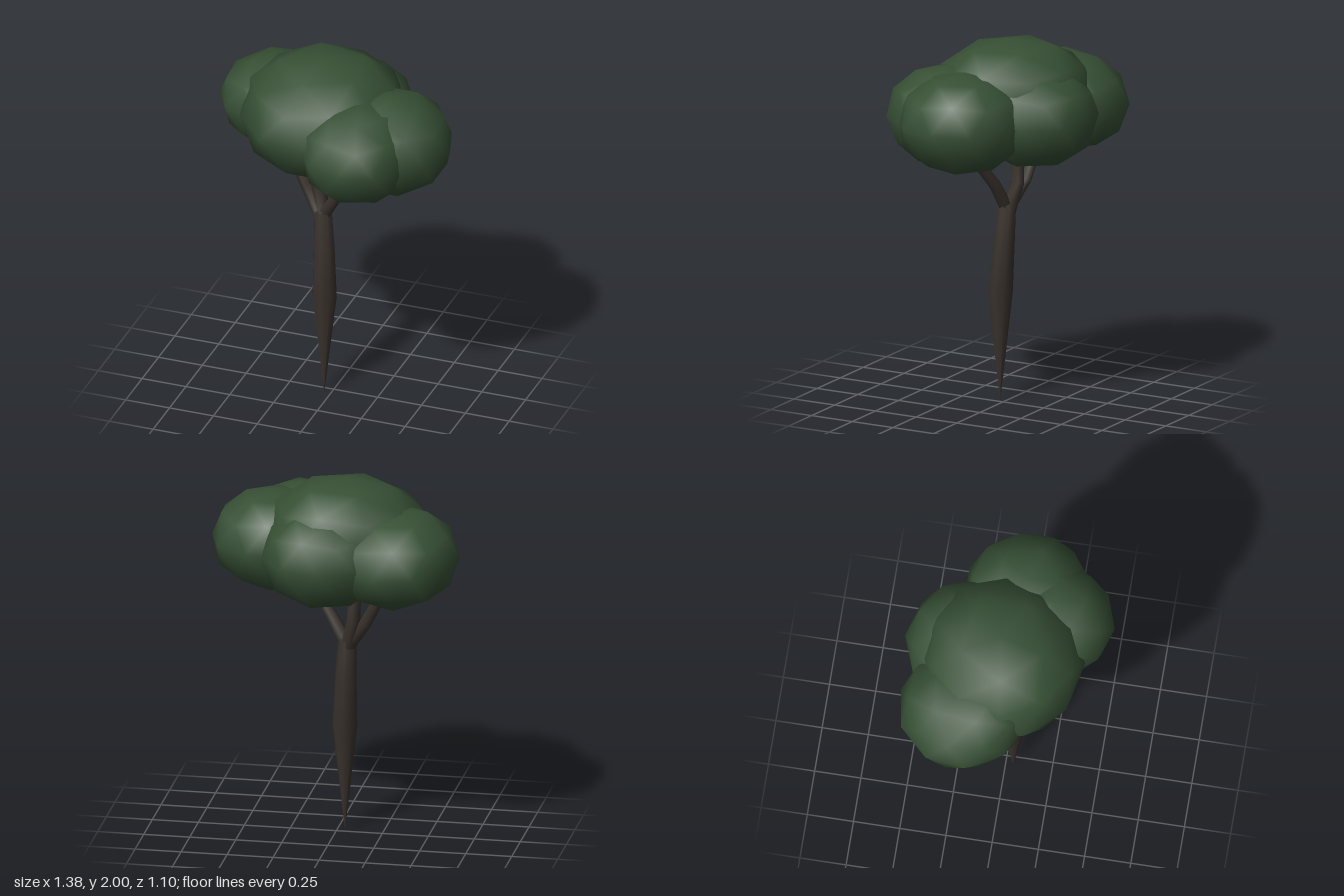
import * as THREE from 'three';
import { mergeVertices } from 'three/addons/utils/BufferGeometryUtils.js';

const bark = new THREE.MeshStandardMaterial({ color: 0x38312b });
const leaf = new THREE.MeshStandardMaterial({ color: 0x375035 });

// Weld the corners and shade smoothly
function smooth(geometry) {
  geometry.deleteAttribute('normal');
  geometry.deleteAttribute('uv');
  const welded = mergeVertices(geometry, 1e-5);
  welded.computeVertexNormals();
  return welded;
}

// Low-poly ellipsoid with slightly full shoulders, turned about its pole
// and leaning so that its height changes with z by the given slope
function crown(name, [x, y, z], [rx, ry, rz], turn, slope = 0) {
  const g = new THREE.IcosahedronGeometry(1, 1);
  g.rotateX(-Math.atan((1 + Math.sqrt(5)) / 2));
  g.rotateY(THREE.MathUtils.degToRad(turn));
  const p = g.attributes.position;
  for (let i = 0; i < p.count; i++) {
    const h = p.getY(i);
    p.setXYZ(i, p.getX(i) * rx, h * (1.12 - 0.12 * h * h) * ry + p.getZ(i) * rz * slope, p.getZ(i) * rz);
  }
  const mesh = new THREE.Mesh(smooth(g), leaf);
  mesh.name = name;
  mesh.position.set(x, y, z);
  return mesh;
}

// Tapered limb: each station is [x, y, z, radius], listed from the base up
function limb(name, stations, sides = 8) {
  const n = stations.length;
  const centres = stations.map(s => new THREE.Vector3(s[0], s[1], s[2]));
  const up = new THREE.Vector3(0, 1, 0);
  const turns = centres.map((c, i) => {
    const along = centres[Math.min(i + 1, n - 1)].clone().sub(centres[Math.max(i - 1, 0)]);
    return new THREE.Quaternion().setFromUnitVectors(up, along.normalize());
  });
  const g = new THREE.CylinderGeometry(1, 1, 1, sides, n - 1, true);
  const p = g.attributes.position;
  const v = new THREE.Vector3();
  for (let i = 0; i < p.count; i++) {
    const k = Math.round((p.getY(i) + 0.5) * (n - 1));
    v.set(p.getX(i), 0, p.getZ(i)).multiplyScalar(stations[k][3]);
    v.applyQuaternion(turns[k]).add(centres[k]);
    p.setXYZ(i, v.x, v.y, v.z);
  }
  const mesh = new THREE.Mesh(smooth(g), bark);
  mesh.name = name;
  return mesh;
}

export function createModel() {
  const tree = new THREE.Group();
  tree.name = 'tree';

  // Trunk, pointed at the root
  tree.add(limb('trunk', [
    [-0.04, 0, 0.04, 0.001],
    [-0.038, 0.59, 0.038, 0.069],
    [-0.047, 0.87, 0.02, 0.059],
    [-0.058, 1.08, 0.008, 0.05],
    [-0.06, 1.1, 0.006, 0.02],
  ]));

  // Three branches reaching into the crown
  tree.add(limb('rightBranch', [
    [-0.075, 1.06, 0.005, 0.038],
    [-0.17, 1.2, -0.042, 0.036],
    [-0.27, 1.39, -0.065, 0.031],
    [-0.37, 1.47, -0.12, 0.024],
  ], 6));
  tree.add(limb('middleBranch', [
    [-0.065, 1.05, 0, 0.044],
    [-0.1, 1.2, -0.035, 0.039],
    [-0.105, 1.34, -0.03, 0.036],
    [-0.1, 1.47, -0.02, 0.03],
  ], 6));
  tree.add(limb('leftBranch', [
    [-0.055, 1.06, 0.01, 0.038],
    [0.03, 1.2, 0.03, 0.033],
    [0.15, 1.37, 0.09, 0.028],
    [0.22, 1.46, 0.12, 0.022],
  ], 6));

  // Leaf masses
  tree.add(
    crown('mainFoliage', [-0.06, 1.677, -0.015], [0.455, 0.323, 0.443], -12, -0.04),
    crown('rightFoliage', [-0.345, 1.625, -0.175], [0.352, 0.258, 0.355], 9, 0.09),
    crown('backFoliage', [0.02, 1.615, -0.193], [0.352, 0.272, 0.36], -16),
    crown('leftFoliage', [0.335, 1.615, 0.06], [0.35, 0.272, 0.35], 0),
    crown('frontFoliage', [0.222, 1.612, 0.215], [0.318, 0.27, 0.333], 18),
  );
  return tree;
}
